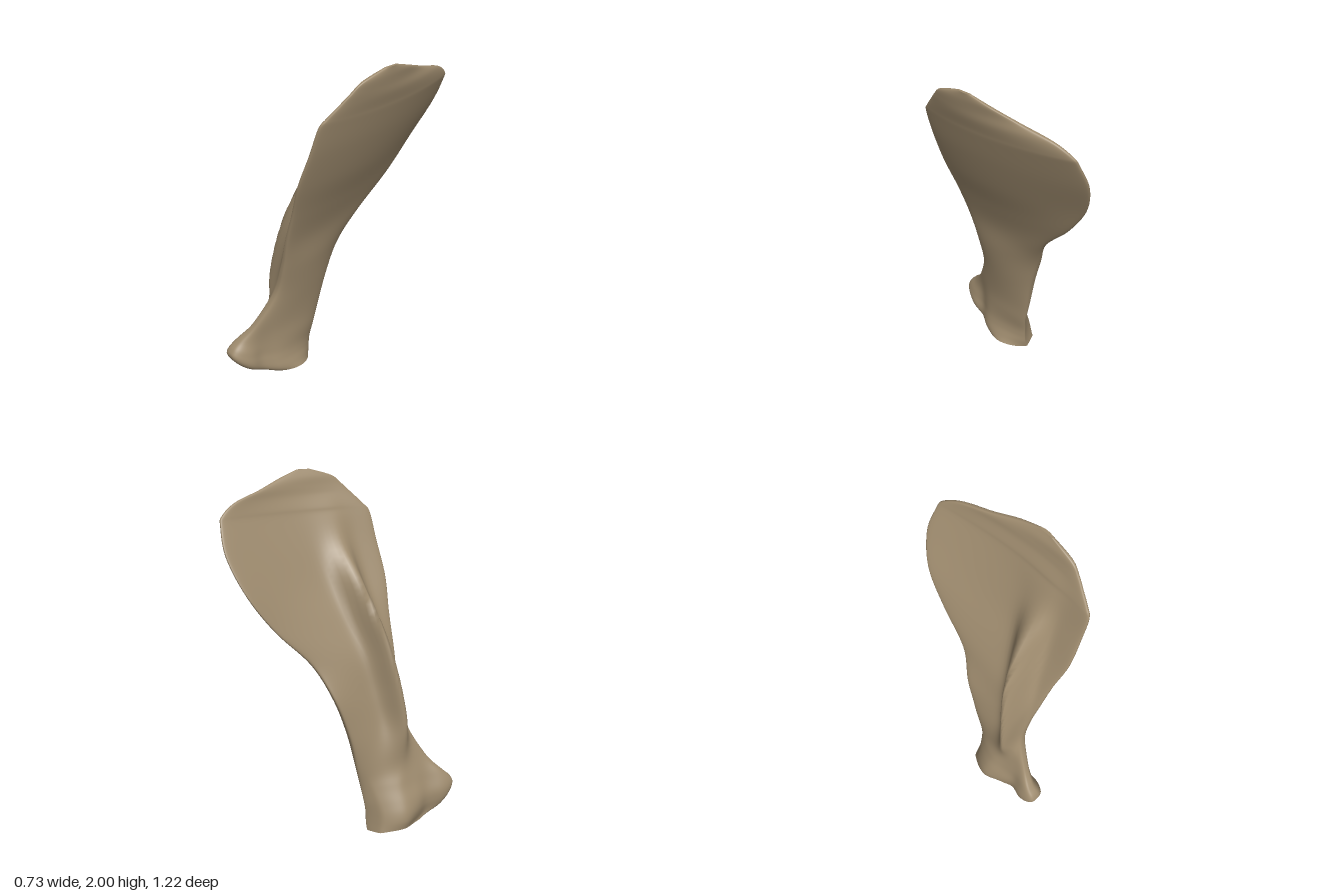
import * as THREE from 'three';

// Blade sections: y, front z, front x, back z, back x, x of the +x face at mid, thickness
const BLADE = [
  [0.035, 0.41, -0.26, 0.07, -0.215, -0.10, 0.17],
  [0.08, 0.535, -0.26, 0.07, -0.20, -0.115, 0.185],
  [0.13, 0.605, -0.26, 0.07, -0.195, -0.13, 0.185],
  [0.19, 0.595, -0.26, 0.065, -0.19, -0.138, 0.17],
  [0.28, 0.54, -0.25, 0.05, -0.175, -0.135, 0.13],
  [0.40, 0.455, -0.205, 0.02, -0.17, -0.12, 0.105],
  [0.60, 0.355, -0.14, -0.03, -0.155, -0.08, 0.095],
  [0.80, 0.34, -0.08, -0.10, -0.13, -0.04, 0.085],
  [1.00, 0.35, -0.02, -0.20, -0.06, 0.00, 0.07],
  [1.20, 0.36, 0.055, -0.39, -0.02, 0.075, 0.06],
  [1.40, 0.38, 0.135, -0.53, 0.02, 0.165, 0.055],
  [1.60, 0.365, 0.215, -0.605, 0.10, 0.245, 0.055],
  [1.75, 0.35, 0.265, -0.60, 0.175, 0.30, 0.05],
  [1.80, 0.315, 0.285, -0.58, 0.20, 0.315, 0.05],
  [1.86, 0.255, 0.31, -0.49, 0.235, 0.335, 0.045],
  [1.91, 0.205, 0.33, -0.33, 0.28, 0.348, 0.04],
  [1.96, 0.145, 0.345, -0.19, 0.325, 0.36, 0.035],
  [2.00, 0.01, 0.352, -0.07, 0.35, 0.362, 0.015],
];
// Ridge on the -x face for the same sections: z, crest x, half width
const RIDGE = [
  [0.22, -0.355, 0.14], [0.22, -0.36, 0.14], [0.22, -0.35, 0.14], [0.22, -0.325, 0.13],
  [0.23, -0.285, 0.11], [0.27, -0.25, 0.08], [0.295, -0.26, 0.052], [0.275, -0.24, 0.052],
  [0.24, -0.20, 0.052], [0.195, -0.135, 0.052], [0.15, -0.01, 0.058], [0.12, 0.165, 0.07],
  [0.10, 0.25, 0.1], [0.09, 0.27, 0.1], [0.08, 0.3, 0.1], [0.05, 0.32, 0.1], [0, 0.34, 0.1],
  [0, 0.36, 0.1],
];
const SIDE = 48, STEPS = 6, RING = SIDE * 2;

// Smooth interpolation between neighbouring table rows
function sample(table, u) {
  const last = table.length - 1;
  const i = Math.min(Math.floor(u), last - 1), t = u - i;
  const row = k => table[Math.max(0, Math.min(last, k))];
  return table[i].map((b, n) => {
    const a = row(i - 1)[n], c = row(i + 1)[n], d = row(i + 2)[n];
    return b + 0.5 * t * (c - a + t * (2 * a - 5 * b + 4 * c - d + t * (3 * (b - c) + d - a)));
  });
}

// One closed cross-section: front edge, +x face, back edge, -x face with the ridge
function section(u) {
  const [y, zf, xf, zb, xb, xm, t] = sample(BLADE, u);
  const [zr, xr, w] = sample(RIDGE, u);
  const low = 1 - THREE.MathUtils.smoothstep(y, 0.15, 0.55);
  const bulge = xm - t / 2 - (xf + xb) / 2;
  const centre = s => xf + (xb - xf) * s + bulge * 4 * s * (1 - s);
  // Thickness: a waist between socket and front knob, and a rounder back to the neck
  const half = s => {
    const waist = (zf + (zb - zf) * s - 0.43) / 0.06;
    const power = s > 0.5 ? 0.3 + 0.4 * low : 0.3;
    return t / 2 * Math.pow(Math.max(0, 4 * s * (1 - s)), power)
      * (1 - 0.3 * low * Math.exp(-waist * waist));
  };
  const sr = THREE.MathUtils.clamp((zf - zr) / (zf - zb), 0, 1);
  const height = Math.max(0, centre(sr) - half(sr) - xr);
  const points = [];
  for (let j = 0; j < RING; j++) {
    const s = (1 - Math.cos(j / SIDE * Math.PI)) / 2;
    const z = zf + (zb - zf) * s;
    let x = centre(s);
    if (j <= SIDE) x += half(s);
    else {
      const d = (z - zr) / (z > zr ? w * 0.8 : w * 1.4);
      x -= half(s) + height * Math.exp(-d * d) * Math.min(1, 12 * s * (1 - s));
    }
    // The lower sections rise at the front and dip at the back
    points.push(new THREE.Vector3(x, y + 2.6 * low * Math.pow(z - 0.3, 3), z));
  }
  return points;
}

// Skin over a list of rings that all have RING points
function loft(rings) {
  const pos = [], index = [];
  rings.forEach(r => r.forEach(p => pos.push(p.x, Math.max(0, p.y), p.z)));
  for (let i = 0; i < rings.length - 1; i++) {
    for (let j = 0; j < RING; j++) {
      const k = (j + 1) % RING;
      const a = i * RING + j, b = i * RING + k, c = b + RING, d = a + RING;
      index.push(a, b, c, a, c, d);
    }
  }
  const geo = new THREE.BufferGeometry();
  geo.setAttribute('position', new THREE.Float32BufferAttribute(pos, 3));
  geo.setIndex(index);
  geo.computeVertexNormals();
  return geo;
}

// Rings shrinking from an outline to its centre, lifted by depth in the middle
function capRings(ring, depth) {
  const mid = new THREE.Vector3();
  ring.forEach(p => mid.addScaledVector(p, 1 / ring.length));
  return [1, 0.85, 0.65, 0.4, 0.2, 0.002].map(k => ring.map(p => {
    const q = mid.clone().lerp(p, k);
    q.y += depth * (1 - k * k);
    return q;
  }));
}

export function createModel() {
  const bone = new THREE.MeshStandardMaterial({ color: 0x9e8b6e });
  bone.name = 'bone';
  const group = new THREE.Group();
  group.name = 'shoulderBlade';
  const add = (name, geo) => {
    const mesh = new THREE.Mesh(geo, bone);
    mesh.name = name;
    group.add(mesh);
  };

  // Blade, neck and ridge in one skin
  const rings = [];
  const count = (BLADE.length - 1) * STEPS;
  for (let i = 0; i <= count; i++) rings.push(section(i / STEPS));
  add('blade', loft(rings));

  // Hollow joint socket underneath, and the narrow top edge
  add('socket', loft(capRings(rings[0], 0.03).reverse()));
  add('topEdge', loft(capRings(rings[count], 0)));
  return group;
}
